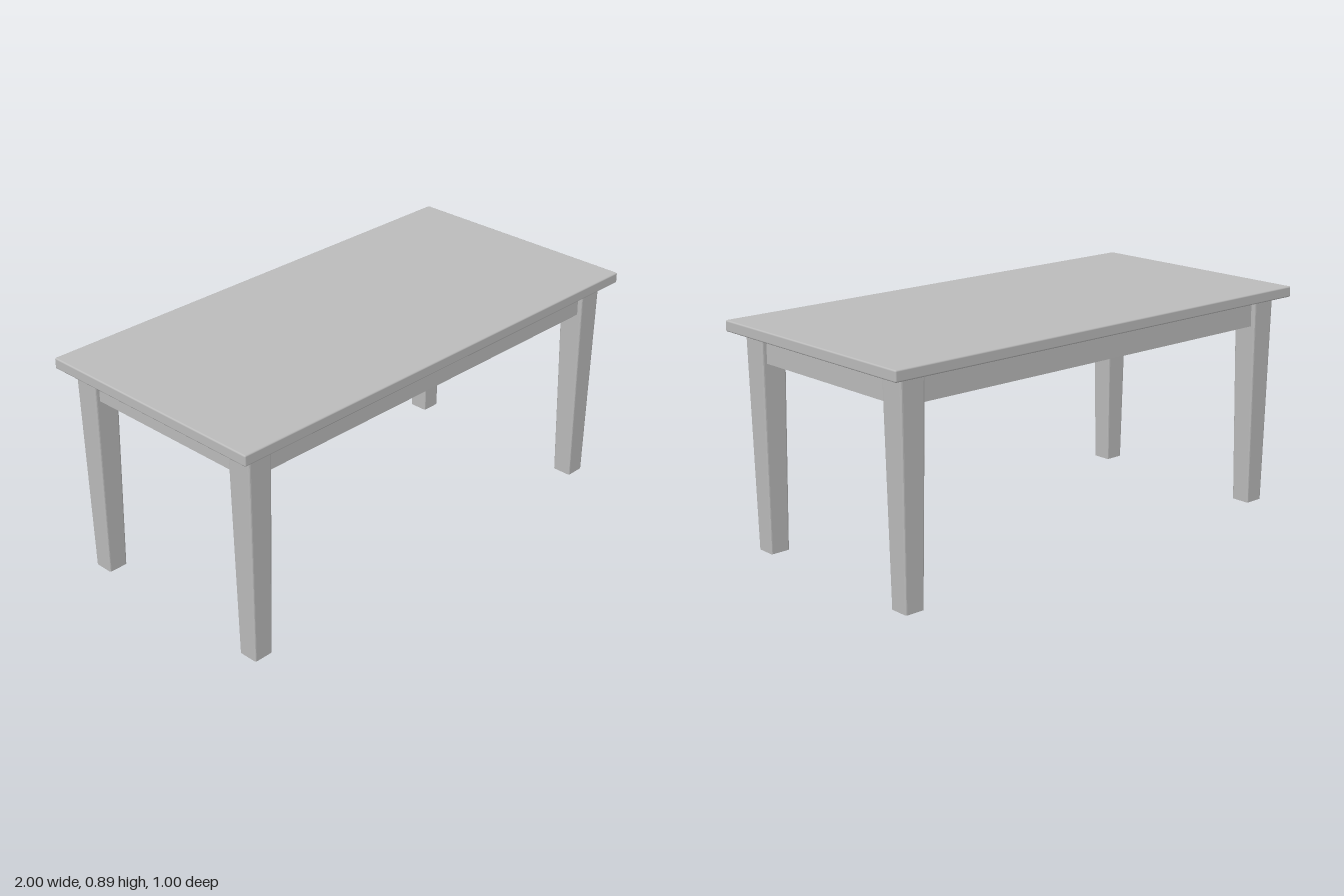
import * as THREE from 'three';
import { RoundedBoxGeometry } from 'three/addons/geometries/RoundedBoxGeometry.js';

const LEG_HEIGHT = 0.847;
const LEG_X = 0.891, LEG_Z = 0.403;

// Square leg with softened vertical edges, narrowing towards the foot
function legGeometry(topWidth, footWidth, height) {
  const h = topWidth / 2, r = 0.008;
  const shape = new THREE.Shape();
  shape.moveTo(-h + r, -h);
  shape.lineTo(h - r, -h);
  shape.quadraticCurveTo(h, -h, h, -h + r);
  shape.lineTo(h, h - r);
  shape.quadraticCurveTo(h, h, h - r, h);
  shape.lineTo(-h + r, h);
  shape.quadraticCurveTo(-h, h, -h, h - r);
  shape.lineTo(-h, -h + r);
  shape.quadraticCurveTo(-h, -h, -h + r, -h);
  const geo = new THREE.ExtrudeGeometry(shape, { depth: height, bevelEnabled: false, curveSegments: 3 });
  geo.rotateX(-Math.PI / 2);
  const p = geo.attributes.position;
  for (let i = 0; i < p.count; i++) {
    const s = THREE.MathUtils.lerp(footWidth / topWidth, 1, p.getY(i) / height);
    p.setX(i, p.getX(i) * s);
    p.setZ(i, p.getZ(i) * s);
  }
  geo.computeVertexNormals();
  return geo;
}

export function createModel() {
  const table = new THREE.Group();
  table.name = 'table';
  const grey = new THREE.MeshStandardMaterial({ color: 0xbbbbbb });
  grey.name = 'plain grey';

  function add(name, geo, x, y, z) {
    const mesh = new THREE.Mesh(geo, grey);
    mesh.name = name;
    mesh.position.set(x, y, z);
    table.add(mesh);
  }

  // Table top with softened edges
  add('tableTop', new RoundedBoxGeometry(2, 0.043, 1, 2, 0.006), 0, 0.8685, 0);

  // Legs and the rails between them, mirrored on both axes
  const leg = legGeometry(0.105, 0.08, LEG_HEIGHT);
  const longRail = new THREE.BoxGeometry(1.72, 0.103, 0.055);
  const shortRail = new THREE.BoxGeometry(0.055, 0.103, 0.74);
  for (const s of [-1, 1]) {
    const side = s > 0 ? 'left' : 'right';
    for (const t of [-1, 1]) {
      add(`${side}${t > 0 ? 'Front' : 'Back'}Leg`, leg, s * LEG_X, 0, t * LEG_Z);
    }
    add(`${side}Rail`, shortRail, s * 0.897, 0.7915, 0);
    add(s > 0 ? 'frontRail' : 'backRail', longRail, 0, 0.7915, s * 0.408);
  }
  return table;
}
